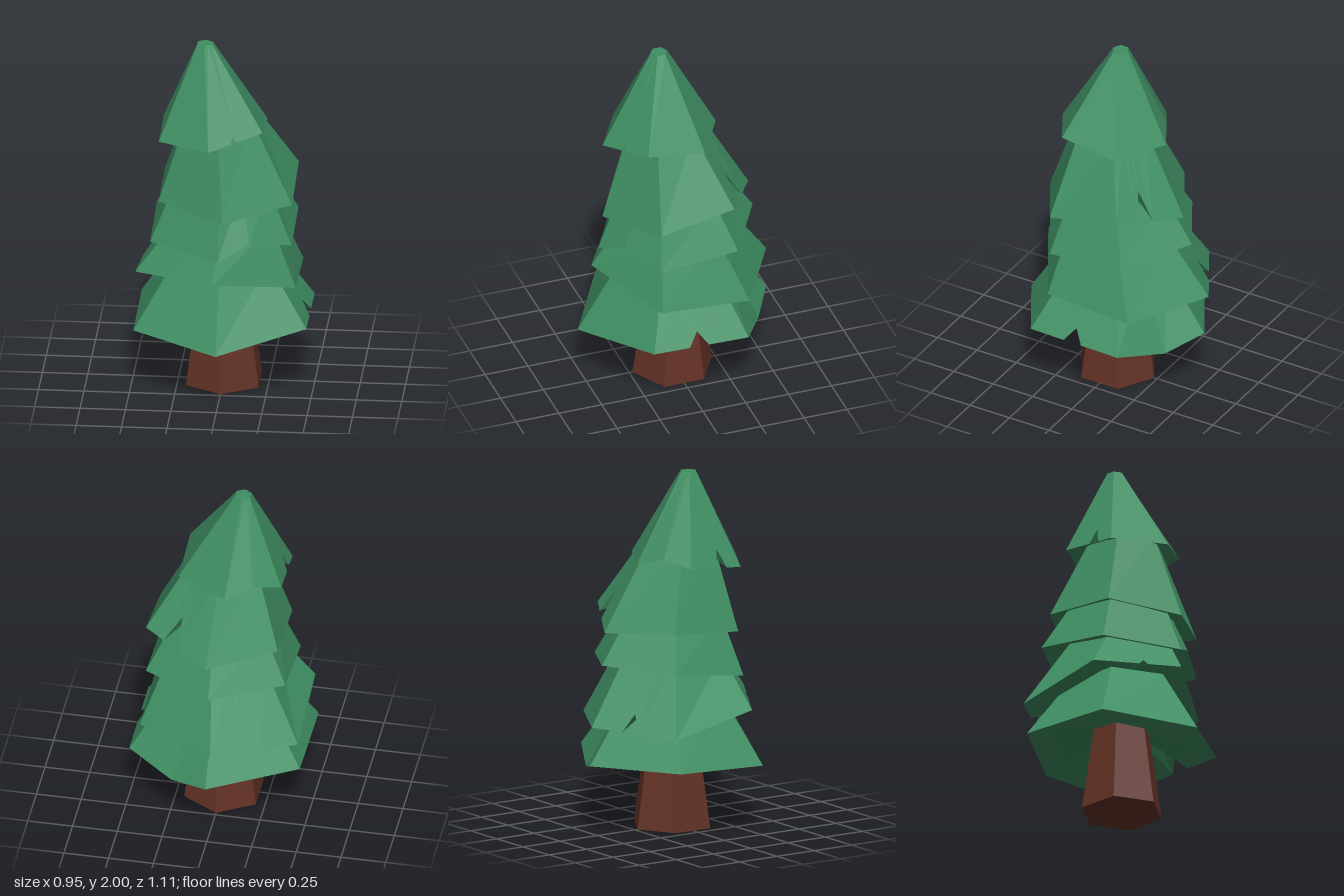
import * as THREE from 'three';

const GREEN = 0x3f8f63, BROWN = 0x643226;
const material = (color) => new THREE.MeshStandardMaterial({ color, flatShading: true });

// Each tier is a leaning hexagonal cone: top hexagon, bottom hexagon, corner heights of the hem.
// Along the hem, u runs 0-6 round the corners. notches: [u, half width, depth up the slope],
// kinks: [u, change of height].
const tiers = [
  { name: 'lowestBranches', top: { x: 0, y: 0.75, z: 0, r: 0.3 }, hem: { x: 0, z: 0, r: 0.55 },
    heights: [0.35, 0.42, 0.41, 0.395, 0.4, 0.38], notches: [[1.48, 0.1, 0.21]], kinks: [[2.55, -0.06]] },
  { name: 'lowerBranches', top: { x: 0.01, y: 0.98, z: 0, r: 0.31 }, hem: { x: -0.03, z: -0.05, r: 0.51 },
    heights: [0.735, 0.635, 0.605, 0.62, 0.59, 0.7], notches: [[3.46, 0.1, 0.26], [5.57, 0.05, 0.12]], kinks: [] },
  { name: 'middleBranches', top: { x: 0, y: 1.2, z: 0, r: 0.3 }, hem: { x: 0, z: -0.02, r: 0.45 },
    heights: [0.86, 0.885, 0.93, 0.95, 0.94, 0.88], notches: [], kinks: [[0.43, 0.07]] },
  { name: 'upperBranches', top: { x: -0.015, y: 1.6, z: 0.04, r: 0.205 }, hem: { x: 0.025, z: -0.01, r: 0.425 },
    heights: [1.08, 1.125, 1.21, 1.125, 1.15, 1.12], notches: [[2.42, 0.12, 0.35]], kinks: [] },
  { name: 'topBranches', top: { x: -0.1, y: 2, z: 0.04, r: 0.047 }, hem: { x: -0.055, z: 0.055, r: 0.33 },
    heights: [1.49, 1.55, 1.505, 1.505, 1.505, 1.48],
    notches: [[0.47, 0.05, 0.06], [4.62, 0.1, 0.19]], kinks: [[3.5, 0.04]] },
];

// Point at u along a hexagon whose corner heights are given by a function
function hexPoint({ x, z, r }, heightAt, u) {
  const corner = (i) => {
    const a = i * Math.PI / 3;
    return new THREE.Vector3(x + r * Math.sin(a), heightAt(i % 6), z + r * Math.cos(a));
  };
  const i = Math.floor(u);
  return corner(i).lerp(corner(i + 1), u - i);
}

function tierGeometry({ top, hem, heights, notches, kinks }) {
  // Hem stations: corners, kinks and the three points of every notch
  const stations = heights.map((_, u) => ({ u, rise: 0, cut: 0 }));
  for (const [u, rise] of kinks) stations.push({ u, rise, cut: 0 });
  for (const [u, w, cut] of notches) {
    stations.push({ u: u - w, rise: 0, cut: 0 }, { u, rise: 0, cut }, { u: u + w, rise: 0, cut: 0 });
  }
  stations.sort((a, b) => a.u - b.u);

  const upper = stations.map(({ u }) => hexPoint(top, () => top.y, u));
  const outer = stations.map(({ u, rise, cut }, k) => {
    const p = hexPoint(hem, (i) => heights[i], u).lerp(upper[k], cut);
    p.y += rise;
    return p;
  });
  const n = outer.length;
  const meanHeight = heights.reduce((s, h) => s + h, 0) / 6;
  const centre = new THREE.Vector3(hem.x, meanHeight, hem.z);
  const inner = outer.map((p) => {
    const q = p.clone().lerp(centre, 0.27);
    q.y = p.y + 0.04;
    return q;
  });
  const hollow = new THREE.Vector3(hem.x, meanHeight + 0.12, hem.z);
  const peak = new THREE.Vector3(top.x, top.y, top.z);

  const points = [];
  for (let i = 0; i < n; i++) {
    const j = (i + 1) % n;
    points.push(outer[i], outer[j], upper[j], outer[i], upper[j], upper[i]); // slope
    points.push(outer[j], outer[i], inner[i], outer[j], inner[i], inner[j]); // rim below
    points.push(inner[j], inner[i], hollow); // hollow underside
    points.push(upper[i], upper[j], peak); // cap
  }
  const geometry = new THREE.BufferGeometry().setFromPoints(points);
  geometry.computeVertexNormals();
  return geometry;
}

export function createModel() {
  const tree = new THREE.Group();
  tree.name = 'tree';

  // Tapered six-sided trunk
  const trunk = new THREE.Mesh(new THREE.CylinderGeometry(0.145, 0.231, 0.6, 6), material(BROWN));
  trunk.name = 'trunk';
  trunk.position.y = 0.3;
  tree.add(trunk);

  // Stacked tiers of branches
  const green = material(GREEN);
  for (const tier of tiers) {
    const mesh = new THREE.Mesh(tierGeometry(tier), green);
    mesh.name = tier.name;
    tree.add(mesh);
  }
  return tree;
}
